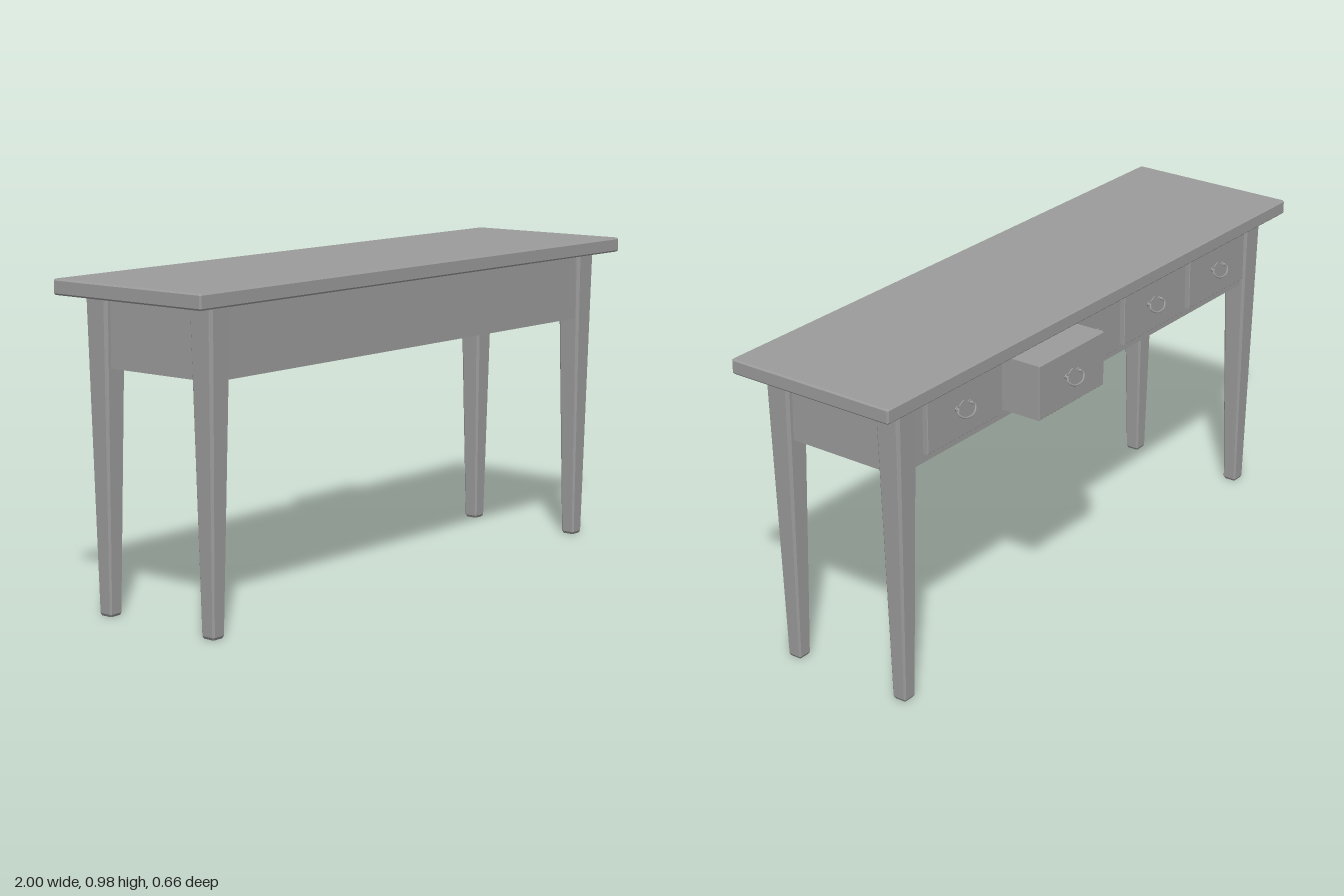
import * as THREE from 'three';

const material = new THREE.MeshStandardMaterial({ color: 0x9b9b9b, side: THREE.DoubleSide });

function add(parent, name, geometry, x = 0, y = 0, z = 0) {
  const mesh = new THREE.Mesh(geometry, material);
  mesh.name = name;
  mesh.position.set(x, y, z);
  parent.add(mesh);
  return mesh;
}

function rect(w, h, x = 0, y = 0, Type = THREE.Shape) {
  const p = new Type();
  p.moveTo(x - w / 2, y - h / 2);
  p.lineTo(x + w / 2, y - h / 2);
  p.lineTo(x + w / 2, y + h / 2);
  p.lineTo(x - w / 2, y + h / 2);
  p.closePath();
  return p;
}

// Upright block with corners cut by c and top and bottom edges chamfered by b; base at y = 0
function chamferedBlock(w, h, d, c, b) {
  const x = w / 2, y = d / 2;
  const corners = [[x, c - y], [x, y - c], [x - c, y], [c - x, y], [-x, y - c], [-x, c - y], [c - x, -y], [x - c, -y]];
  const shape = new THREE.Shape(corners.map(([u, v]) => new THREE.Vector2(u, v)));
  const g = new THREE.ExtrudeGeometry(shape, {
    depth: h - 2 * b, bevelEnabled: true, bevelSize: b, bevelThickness: b, bevelOffset: -b, bevelSegments: 1,
  });
  return g.translate(0, 0, b).rotateX(-Math.PI / 2);
}

// Square leg tapering to the foot
function legGeometry() {
  const height = 0.933;
  const g = chamferedBlock(0.085, height, 0.085, 0.009, 0.008);
  const p = g.attributes.position;
  for (let i = 0; i < p.count; i++) {
    const s = THREE.MathUtils.lerp(0.55, 1, p.getY(i) / height);
    p.setX(i, p.getX(i) * s);
    p.setZ(i, p.getZ(i) * s);
  }
  g.computeVertexNormals();
  return g;
}

// Shaped backplate with a hanging bail; local origin on the drawer face, pointing to -z
function makeHandle() {
  const handle = new THREE.Group();
  handle.name = 'bailHandle';
  const half = [[0, 0.02], [0.01, 0.015], [0.018, 0.009], [0.03, 0.012], [0.039, 0.006], [0.034, -0.004], [0.018, -0.003], [0.008, -0.009]];
  const outline = [...half, [0, -0.012], ...half.slice(1).reverse().map(([x, y]) => [-x, y])];
  const plate = new THREE.Shape(outline.map(([x, y]) => new THREE.Vector2(x, y)));
  add(handle, 'handleBackplate', new THREE.ExtrudeGeometry(plate, { depth: 0.003, bevelEnabled: false }), 0, 0, -0.003);
  for (const s of [-1, 1]) {
    add(handle, 'handlePost', new THREE.CylinderGeometry(0.004, 0.005, 0.012, 10).rotateX(-Math.PI / 2), s * 0.031, 0.003, -0.006);
  }
  const bail = new THREE.CatmullRomCurve3([
    [-0.031, 0.003, -0.009], [-0.038, -0.005, -0.013], [-0.031, -0.015, -0.019], [-0.018, -0.022, -0.023],
    [0, -0.024, -0.024],
    [0.018, -0.022, -0.023], [0.031, -0.015, -0.019], [0.038, -0.005, -0.013], [0.031, 0.003, -0.009],
  ].map((v) => new THREE.Vector3(...v)));
  add(handle, 'handleBail', new THREE.TubeGeometry(bail, 40, 0.003, 8));
  return handle;
}

function makeKnob() {
  const profile = [[0.015, 0], [0.014, 0.003], [0.006, 0.004], [0.006, 0.007], [0.012, 0.009], [0.013, 0.012], [0.009, 0.015], [0, 0.016]];
  const g = new THREE.LatheGeometry(profile.map(([x, y]) => new THREE.Vector2(x, y)), 20).rotateX(-Math.PI / 2);
  const knob = new THREE.Group();
  knob.name = 'knob';
  add(knob, 'knobTurning', g);
  return knob;
}

// Closed drawer box with its front face at local z = 0, running towards +z
function makeDrawer(width, round) {
  const drawer = new THREE.Group();
  const b = 0.002, depth = 0.36;
  const box = new THREE.ExtrudeGeometry(rect(width, 0.168), {
    depth: depth - 2 * b, bevelEnabled: true, bevelSize: b, bevelThickness: b, bevelOffset: -b, bevelSegments: 1,
  });
  add(drawer, 'drawerBox', box, 0, 0, b);
  const pull = round ? makeKnob() : makeHandle();
  pull.position.y = 0.005;
  drawer.add(pull);
  return drawer;
}

export function createModel() {
  const table = new THREE.Group();
  table.name = 'consoleTable';

  // Top board
  add(table, 'tableTop', chamferedBlock(2, 0.046, 0.564, 0.005, 0.005), 0, 0.932, 0.05);

  // Legs
  const leg = legGeometry();
  for (const x of [-0.873, 0.873]) {
    for (const z of [-0.152, 0.248]) add(table, 'leg', leg, x, 0, z);
  }

  // Apron panels and the floor under the drawers
  const mid = 0.828, high = 0.21;
  add(table, 'frontApron', new THREE.BoxGeometry(1.74, high, 0.02), 0, mid, 0.265);
  for (const s of [-1, 1]) {
    add(table, 'sideApron', new THREE.BoxGeometry(0.02, high, 0.4), s * 0.885, mid, 0.048);
  }
  add(table, 'caseFloor', new THREE.BoxGeometry(1.77, 0.012, 0.43), 0, 0.729, 0.048);

  // Drawers as [centre x, width, how far pulled out, round knob]
  const drawers = [
    [0.63, 0.315, 0, false], [0.273, 0.315, 0.115, false], [-0.012, 0.21, 0, true],
    [-0.313, 0.315, 0, false], [-0.668, 0.315, 0, false],
  ];
  const frame = rect(1.74, high, 0, mid);
  const drawerY = 0.834;
  for (const [x, width, pulled, round] of drawers) {
    frame.holes.push(rect(width + 0.002, 0.17, x, drawerY, THREE.Path));
    const drawer = makeDrawer(width, round);
    drawer.name = 'drawer';
    drawer.position.set(x, drawerY, -0.191 - pulled);
    table.add(drawer);
  }
  add(table, 'drawerFrame', new THREE.ExtrudeGeometry(frame, { depth: 0.02, bevelEnabled: false }), 0, 0, -0.175);

  return table;
}
